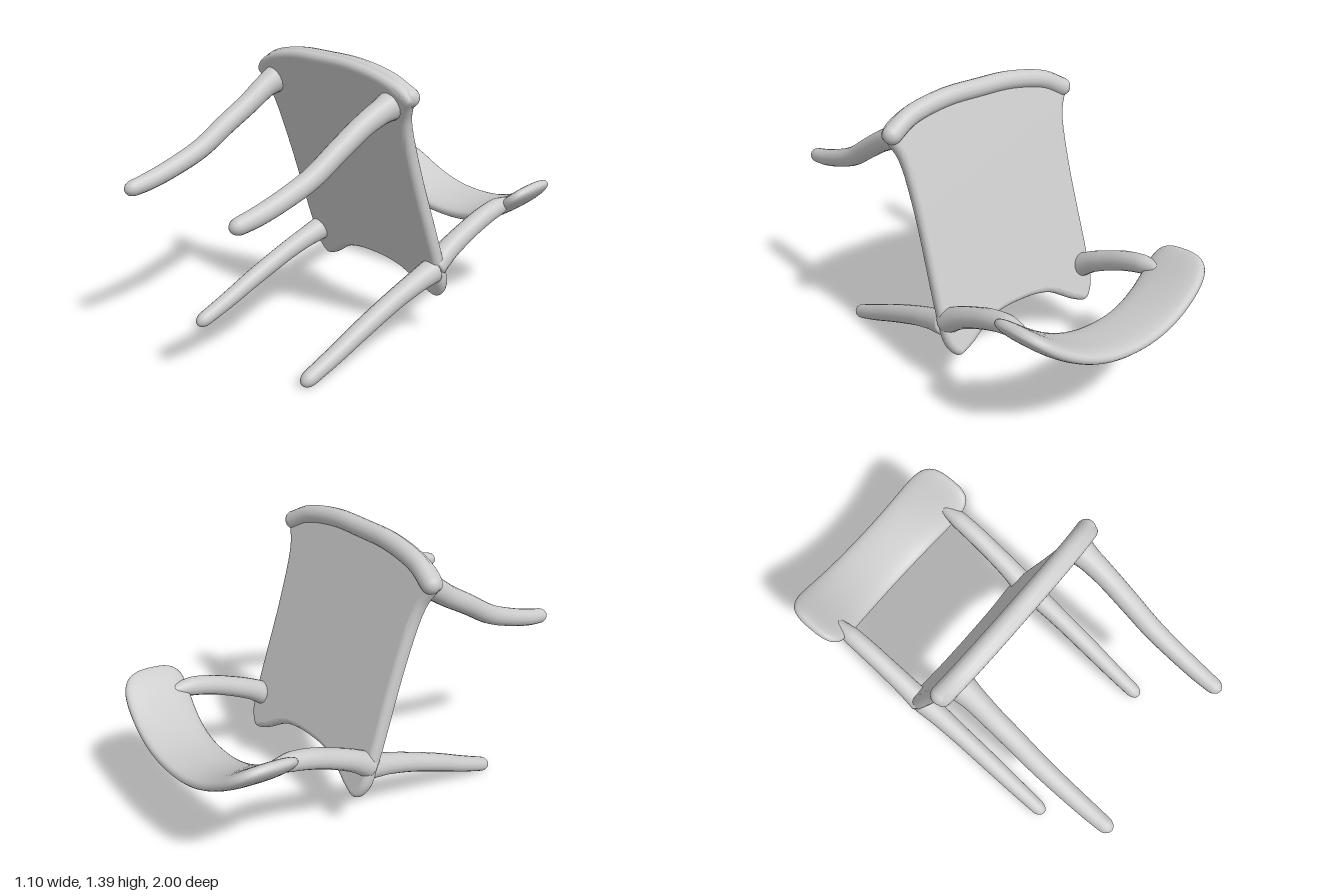
import * as THREE from 'three';
import { toCreasedNormals } from 'three/addons/utils/BufferGeometryUtils.js';

const V = (x, y, z) => new THREE.Vector3(x, y, z);

// Skin over rings; ringAt(u) gives a centre and two half-axes, with axis a x b along the sweep
function loft(ringAt, rings, sides, power = 1) {
  const pos = [], index = [];
  const soften = v => Math.sign(v) * Math.pow(Math.abs(v), power);
  for (let i = 0; i <= rings; i++) {
    const { c, a, b } = ringAt(i / rings);
    for (let j = 0; j < sides; j++) {
      const t = (j / sides) * Math.PI * 2;
      const p = c.clone().addScaledVector(a, soften(Math.cos(t))).addScaledVector(b, soften(Math.sin(t)));
      pos.push(p.x, p.y, p.z);
      if (i < rings) {
        const p0 = i * sides + j, p1 = i * sides + (j + 1) % sides;
        index.push(p0, p1, p0 + sides, p1, p1 + sides, p0 + sides);
      }
    }
  }
  const g = new THREE.BufferGeometry();
  g.setAttribute('position', new THREE.Float32BufferAttribute(pos, 3));
  g.setIndex(index);
  g.computeVertexNormals();
  return g;
}

// Round limb through stations [y, z, radius] with rounded ends
function limb(x, stations) {
  const path = new THREE.CatmullRomCurve3(stations.map(([y, z]) => V(x, y, z)));
  const n = stations.length - 1;
  return loft(s => {
    const u = 0.5 - 0.5 * Math.cos(Math.PI * s);
    const k = Math.min(Math.floor(u * n), n - 1);
    const r = THREE.MathUtils.lerp(stations[k][2], stations[k + 1][2], u * n - k);
    const end = Math.max(0, (u - 0.95) / 0.05, (0.03 - u) / 0.03);
    const round = r * Math.sqrt(Math.max(0, 1 - end * end));
    const a = V(1, 0, 0);
    const b = path.getTangent(u).cross(a).normalize();
    return { c: path.getPoint(u), a: a.multiplyScalar(round), b: b.multiplyScalar(round) };
  }, 48, 16);
}

// Flat slab with a fully rounded rim
function roundedSlab(outline, bevel, core) {
  const shape = new THREE.Shape(outline.map(p => new THREE.Vector2(p.x, p.y)));
  const slab = toCreasedNormals(new THREE.ExtrudeGeometry(shape, {
    depth: core, bevelThickness: bevel, bevelSize: bevel, bevelOffset: -bevel, bevelSegments: 5 })
    .translate(0, 0, -core / 2), 0.7);
  // Keep the two broad faces evenly flat
  const { position, normal } = slab.attributes;
  for (let i = 0; i < position.count; i++) {
    const z = position.getZ(i);
    if (Math.abs(z) > bevel + core / 2 - 1e-4) normal.setXYZ(i, 0, 0, Math.sign(z));
  }
  return slab;
}

export function createModel() {
  const model = new THREE.Group();
  const material = new THREE.MeshStandardMaterial({ color: 0xcccccc });
  const add = (name, geometry, parent = model) => {
    const mesh = new THREE.Mesh(geometry, material);
    mesh.name = name;
    parent.add(mesh);
    return mesh;
  };

  // Seat, tipped nearly upright: flared front edge on top, scooped rear edge below
  const seat = new THREE.Group();
  seat.name = 'seat';
  seat.position.set(0, 0.8, -0.04);
  seat.rotation.x = Math.atan(0.333);
  model.add(seat);

  const half = [[0, 0.62], [0.2, 0.615], [0.4, 0.575], [0.52, 0.515], [0.545, 0.475], [0.52, 0.43],
    [0.485, 0.35], [0.465, 0.1], [0.47, -0.42], [0.46, -0.55], [0.41, -0.62], [0.34, -0.6],
    [0.2, -0.515], [0.1, -0.49], [0, -0.485]];
  const mirrored = half.slice(1, -1).reverse().map(([x, y]) => [-x, y]);
  const outline = new THREE.CatmullRomCurve3([...half, ...mirrored].map(([x, y]) => V(x, y, 0)), true);
  add('seatPanel', roundedSlab(outline.getPoints(140).slice(0, -1), 0.031, 0.01), seat);

  // Thick rounded lip along the front edge
  const lip = new THREE.CatmullRomCurve3([[-0.505, 0.475], [-0.4, 0.532], [-0.2, 0.573], [0, 0.578],
    [0.2, 0.573], [0.4, 0.532], [0.505, 0.475]].map(([x, y]) => V(x, y, -0.018)));
  add('frontLip', new THREE.TubeGeometry(lip, 48, 0.046, 14), seat);
  for (const side of [-1, 1]) {
    add('frontLipEnd', new THREE.SphereGeometry(0.046, 16, 12), seat).position.set(side * 0.505, 0.475, -0.018);
  }

  // Legs and back posts
  for (const side of [-1, 1]) {
    const x = side > 0 ? 0.422 : -0.412;
    const drop = side > 0 ? 0 : 0.035;
    add('frontLeg', limb(x, [[1.225, 0.09, 0.075], [1.19 - drop / 3, 0.19, 0.057], [1.145 - drop, 0.29, 0.052],
      [1.06 - drop, 0.43, 0.05], [0.965 - drop, 0.58, 0.048], [0.9 - drop, 0.74, 0.045],
      [0.86 - drop, 0.87, 0.042], [0.835 - drop, 0.995, 0.036]]));
    add('rearLeg', limb(x, [[0.365, -0.18, 0.064], [0.33, -0.06, 0.054], [0.28, 0.08, 0.049],
      [0.19, 0.29, 0.046], [0.11, 0.46, 0.042], [0.03, 0.645, 0.036]]));
    add('backPost', limb(side * 0.42, [[0.37, -0.165, 0.062], [0.44, -0.27, 0.054], [0.505, -0.4, 0.05],
      [0.55, -0.51, 0.049], [0.58, -0.62, 0.046], [0.59, -0.73, 0.026]]));
  }

  // Curved backrest, swept from side to side
  add('backrest', loft(s => {
    const u = Math.sin((s - 0.5) * Math.PI);
    const q = Math.pow(Math.abs(u), 2.2);
    const lower = V(u * 0.535, 0.43 + 0.235 * q, -0.69 + 0.1 * q);
    const upper = V(u * 0.535, 0.475 + 0.23 * q, -1 + 0.06 * q);
    const round = Math.pow(Math.max(0, 1 - Math.pow(Math.abs(u), 12)), 0.35);
    const a = upper.clone().sub(lower).multiplyScalar(0.5);
    const tangent = V(0.535, 0.51 * Math.sign(u) * Math.pow(Math.abs(u), 1.2), 0);
    const b = tangent.cross(a).normalize().multiplyScalar(0.038 * round);
    return { c: lower.add(upper).multiplyScalar(0.5), a: a.multiplyScalar(round), b };
  }, 56, 28, 0.75));

  return model;
}
